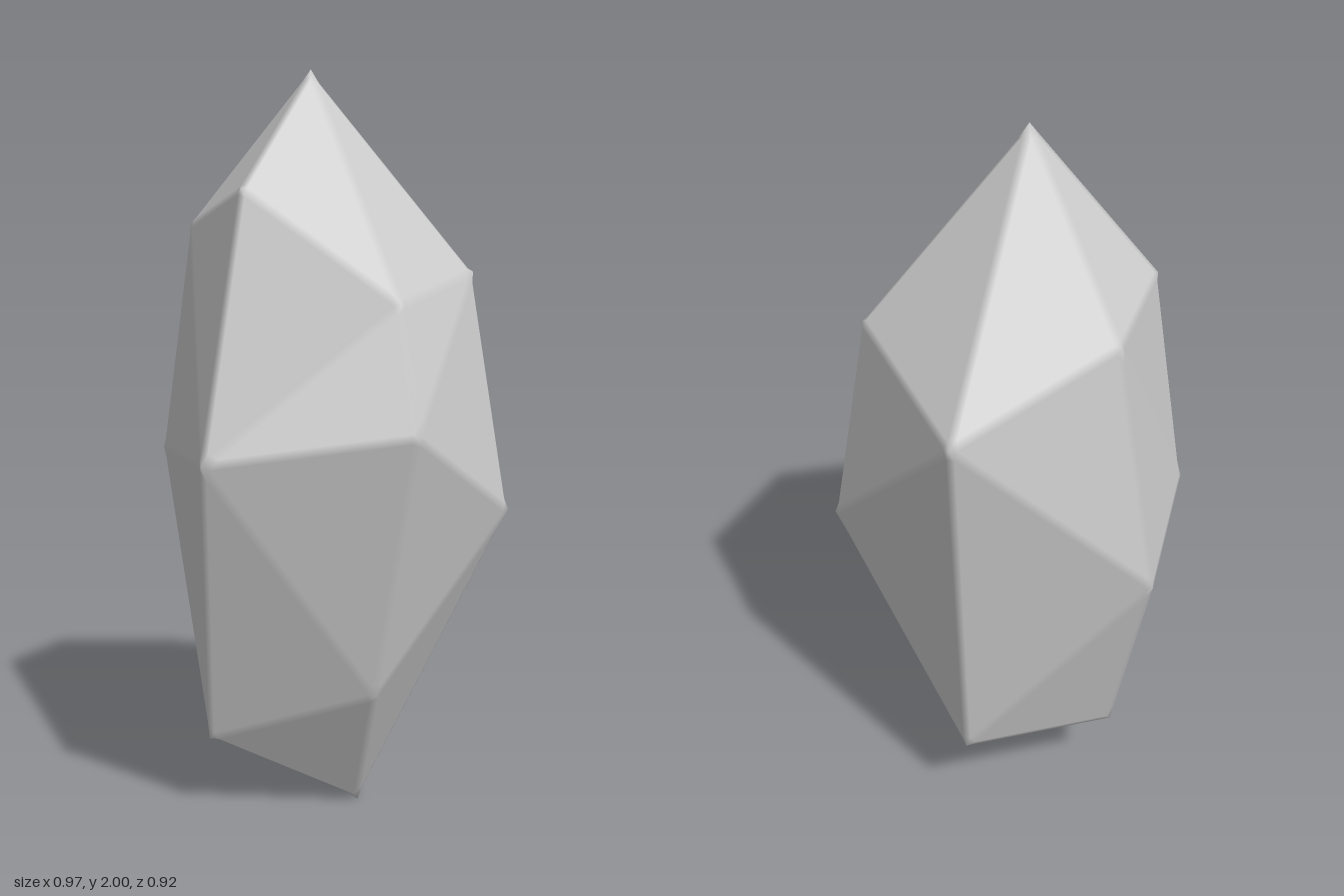
import * as THREE from 'three';

// Corner points of the crystal: two tips, upper ring, middle ring, lower ring
const CORNERS = {
  top: [-0.02, 2, -0.015], tip: [0.04, 0, 0.1], R: [0.485, 1.37, -0.06],
  Lu: [-0.32, 1.71, -0.015], FLu: [-0.1, 1.42, 0.32], FRu: [0.21, 1.48, 0.345],
  BRu: [0.14, 1.55, -0.345], BLu: [-0.165, 1.6, -0.305],
  Lm: [-0.485, 1.03, -0.02], FLm: [-0.17, 1.1, 0.42], FRm: [0.22, 0.85, 0.46],
  BRm: [0.14, 0.86, -0.46], BLm: [-0.19, 0.99, -0.39],
  Rl: [0.33, 0.26, 0], Bl: [0.04, 0.26, -0.31], Ll: [-0.28, 0.22, -0.17], Fl: [-0.1, 0.37, 0.25],
};

// Facets by corner name: crown, waist, lower body, point
const FACETS = [
  'top Lu FLu', 'top FLu FRu', 'top FRu R', 'top R BRu', 'top BRu BLu', 'top BLu Lu',
  'Lu FLu Lm', 'FLu Lm FLm', 'FLu FLm FRu', 'FRu FLm FRm', 'FRu FRm R',
  'R BRm BRu', 'BRu BRm BLm', 'BRu BLm BLu', 'BLu BLm Lm', 'BLu Lm Lu',
  'R FRm Rl', 'R Rl BRm', 'Rl BRm Bl', 'BRm Bl BLm', 'Bl BLm Ll', 'BLm Ll Lm',
  'Lm Ll Fl', 'Lm Fl FLm', 'FLm Fl FRm', 'FRm Fl tip', 'FRm tip Rl',
  'tip Rl Bl', 'tip Bl Ll', 'tip Ll Fl',
].map((s) => s.split(' '));

// Closed faceted solid whose edges are softened by a narrow bevel
function beveledSolid(points, facets, width) {
  const pts = {}, cornerNormals = {};
  for (const k in points) {
    pts[k] = new THREE.Vector3(...points[k]);
    cornerNormals[k] = new THREE.Vector3();
  }
  const position = [], normal = [];
  const emit = (...corners) => corners.forEach(({ p, n }) => {
    position.push(p.x, p.y, p.z);
    normal.push(n.x, n.y, n.z);
  });

  // Inset every facet, turned to face outward, and remember its half-edges
  const halfEdges = new Map();
  const middle = new THREE.Vector3(0, 0.95, 0);
  for (let names of facets) {
    const tri = new THREE.Triangle(...names.map((k) => pts[k]));
    const n = tri.getNormal(new THREE.Vector3());
    if (n.dot(tri.getMidpoint(new THREE.Vector3()).sub(middle)) < 0) {
      names = [names[0], names[2], names[1]];
      n.negate();
    }
    const inset = names.map((k, i) => {
      const u = pts[names[(i + 1) % 3]].clone().sub(pts[k]).normalize();
      const v = pts[names[(i + 2) % 3]].clone().sub(pts[k]).normalize();
      const s = width / Math.sin(u.angleTo(v));
      cornerNormals[k].add(n);
      return { p: pts[k].clone().addScaledVector(u.add(v), s), n };
    });
    emit(...inset);
    names.forEach((k, i) => {
      const j = (i + 1) % 3;
      halfEdges.set(k + ' ' + names[j], [inset[i], inset[j]]);
    });
  }
  for (const k in cornerNormals) cornerNormals[k].normalize();

  // Edge strips and corner caps
  for (const [key, [fa, fb]] of halfEdges) {
    const [a, b] = key.split(' ');
    const [gb, ga] = halfEdges.get(b + ' ' + a);
    if (a < b) emit(fb, fa, ga, fb, ga, gb);
    emit(ga, fa, { p: pts[a], n: cornerNormals[a] });
  }

  const geometry = new THREE.BufferGeometry();
  geometry.setAttribute('position', new THREE.Float32BufferAttribute(position, 3));
  geometry.setAttribute('normal', new THREE.Float32BufferAttribute(normal, 3));
  return geometry;
}

export function createModel() {
  const group = new THREE.Group();
  group.name = 'crystal';
  const mesh = new THREE.Mesh(
    beveledSolid(CORNERS, FACETS, 0.013),
    new THREE.MeshStandardMaterial({ color: 0xcccccc }),
  );
  mesh.name = 'crystalBody';
  group.add(mesh);
  return group;
}
